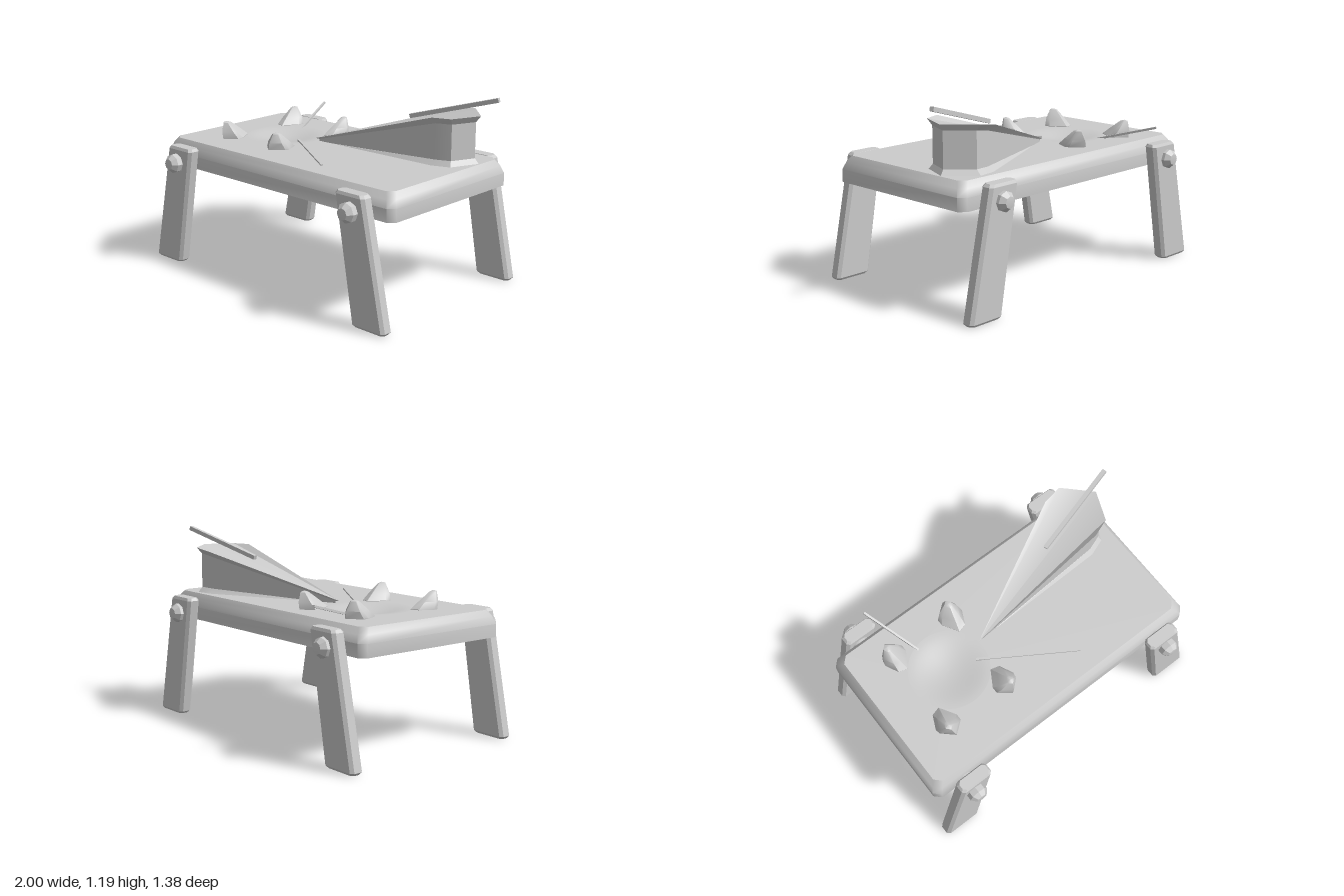
import * as THREE from 'three';
import { toCreasedNormals } from 'three/addons/utils/BufferGeometryUtils.js';

const material = new THREE.MeshStandardMaterial({ color: 0xcccccc });
const doubleSided = new THREE.MeshStandardMaterial({ color: 0xcccccc, side: THREE.DoubleSide });

// Skin between rings of [x, y, z], listed bottom to top, each counterclockwise from above
function loft(rings, crease = 0.6, capTop = true) {
  const n = rings[0].length, index = [];
  for (let i = 0; i < rings.length - 1; i++) {
    for (let j = 0; j < n; j++) {
      const k = (j + 1) % n, a = i * n + j, b = i * n + k;
      index.push(a, b, b + n, a, b + n, a + n);
    }
  }
  const top = (rings.length - 1) * n;
  for (let j = 1; j < n - 1; j++) {
    index.push(0, j + 1, j);
    if (capTop) index.push(top, top + j, top + j + 1);
  }
  const geo = new THREE.BufferGeometry();
  geo.setAttribute('position', new THREE.Float32BufferAttribute(rings.flat(2), 3));
  geo.setIndex(index);
  return toCreasedNormals(geo, crease);
}

// Rectangle with chamfered corners at height y
function chamferedRing(x0, x1, z0, z1, c, y) {
  return [
    [x0 + c, z1], [x1 - c, z1], [x1, z1 - c], [x1, z0 + c],
    [x1 - c, z0], [x0 + c, z0], [x0, z0 + c], [x0, z1 - c],
  ].map(([x, z]) => [x, y, z]);
}

export function createModel() {
  const model = new THREE.Group();
  const add = (name, geo, mat = material) => {
    const mesh = new THREE.Mesh(geo, mat);
    mesh.name = name;
    model.add(mesh);
    return mesh;
  };

  // Table slab: straight lower sides, rounded shoulder
  const TOP = 0.787, bowlX = -0.445, bowlZ = -0.045, bowlR = 0.25;
  const slabRing = (inset, y) =>
    chamferedRing(-0.97 + inset, 0.95 - inset, -0.545 + inset, 0.525 - inset, 0.04, y);
  const rim = slabRing(0.045, TOP);
  add('slab', loft([slabRing(0, 0.627), slabRing(0, 0.705), slabRing(0.018, 0.75), rim], 0.9, false));

  // Flat top with a round opening, filled by a shallow bowl
  const topShape = new THREE.Shape(rim.map(([x, , z]) => new THREE.Vector2(x, -z)));
  topShape.holes.push(new THREE.Path().absarc(bowlX, -bowlZ, bowlR, 0, Math.PI * 2, true));
  add('slabTop', new THREE.ShapeGeometry(topShape, 20).rotateX(-Math.PI / 2).translate(0, TOP, 0));
  const bowlProfile = [];
  for (let i = 0; i <= 10; i++) {
    const t = i / 10;
    bowlProfile.push(new THREE.Vector2(t * bowlR, -0.03 * (1 - t * t) ** 2));
  }
  add('bowl', new THREE.LatheGeometry(bowlProfile, 40), doubleSided).position.set(bowlX, TOP, bowlZ);

  // Splayed legs, wider at the foot
  const legRing = (side, front, t, inset, y) => {
    const [foot0, foot1, head0, head1] = side < 0
      ? [-1.0, -0.755, -0.835, -0.62] : [0.733, 0.977, 0.6, 0.815];
    const [z0, z1] = front ? [0.53, 0.615] : [-0.635, -0.55];
    const lerp = THREE.MathUtils.lerp;
    return chamferedRing(lerp(foot0, head0, t) + inset, lerp(foot1, head1, t) - inset,
      z0 + inset * 0.7, z1 - inset * 0.7, 0.018, y);
  };
  for (const side of [-1, 1]) {
    const x = side < 0 ? -0.755 : 0.725;
    for (const front of [true, false]) {
      const name = (front ? 'front' : 'back') + (side < 0 ? 'Right' : 'Left');
      add(name + 'Leg', loft([
        legRing(side, front, 0, 0.015, 0), legRing(side, front, 0.02, 0, 0.015),
        legRing(side, front, 0.98, 0, 0.755), legRing(side, front, 1, 0.012, 0.772),
      ], 0.4));

      // Domed bolt head
      const profile = [[0.06, -0.02], [0.06, 0.045], [0.035, 0.075], [0, 0.08]];
      const bolt = add(name + 'Bolt', toCreasedNormals(
        new THREE.LatheGeometry(profile.map(p => new THREE.Vector2(...p)), 8), 0.6));
      bolt.rotation.x = front ? Math.PI / 2 : -Math.PI / 2;
      bolt.position.set(x, 0.67, front ? 0.605 : -0.61);
    }
    // Axle joining the leg pair under the slab
    const axle = add('axle', new THREE.CylinderGeometry(0.06, 0.06, 1.2, 16));
    axle.rotation.x = Math.PI / 2;
    axle.position.set(x, 0.67, -0.01);
  }

  // Four pointed stones leaning outward around the bowl
  const stoneOutline = [[-0.075, 0.03], [0, 0.1], [0.075, 0.04], [0.075, 0], [0.015, -0.1], [-0.04, -0.085], [-0.08, 0]];
  for (const sx of [-1, 1]) {
    for (const sz of [-1, 1]) {
      const ring = (scale, dx, dz, y) => {
        const pts = stoneOutline.map(([x, z]) => [
          bowlX - sx * (x * scale + dx - 0.21), y, bowlZ + sz * (z * scale + dz + 0.255)]);
        return sx * sz < 0 ? pts : pts.reverse();
      };
      add('stone', loft([
        ring(0.95, 0, 0, 0.74), ring(1, 0, 0, 0.79),
        ring(0.75, -0.008, 0.025, 0.83), ring(0.28, -0.018, 0.05, 0.885), ring(0.05, -0.018, 0.05, 0.892),
      ], 0.7));
    }
  }

  // Wedge: sloped top, waisted walls, long thin point
  const wedgeOutline = [[-0.2, -0.07], [0.714, -0.094], [0.826, -0.136], [0.9, -0.32], [0.74, -0.48], [0.62, -0.463]];
  const wedgeTop = x => Math.min(1.075, 0.802 + 0.31 * (x + 0.2));
  const wedgeRing = (waist, t) => wedgeOutline.map(([x, z], i) => {
    const s = !waist ? 1 : i === 0 ? 0.97 : 0.82;
    const y = THREE.MathUtils.lerp(0.78, wedgeTop(x), t);
    return [0.74 + (x - 0.74) * s, y, -0.28 + (z + 0.28) * s];
  });
  add('wedge', loft([wedgeRing(false, 0), wedgeRing(true, 0.13), wedgeRing(true, 0.87), wedgeRing(false, 1)], 0.45));

  // Loose sticks
  const stick = (from, to, size) => {
    const a = new THREE.Vector3(...from), b = new THREE.Vector3(...to);
    const mesh = add('stick', new THREE.BoxGeometry(size, size, a.distanceTo(b)));
    mesh.position.copy(a).add(b).multiplyScalar(0.5);
    mesh.lookAt(b);
  };
  stick([-0.49, 0.76, -0.19], [-0.65, 0.88, -0.62], 0.013);
  stick([-0.28, 0.789, 0.005], [0.255, 0.789, 0.345], 0.014);
  stick([0.44, 1.02, -0.235], [0.993, 1.177, -0.362], 0.026);
  return model;
}
